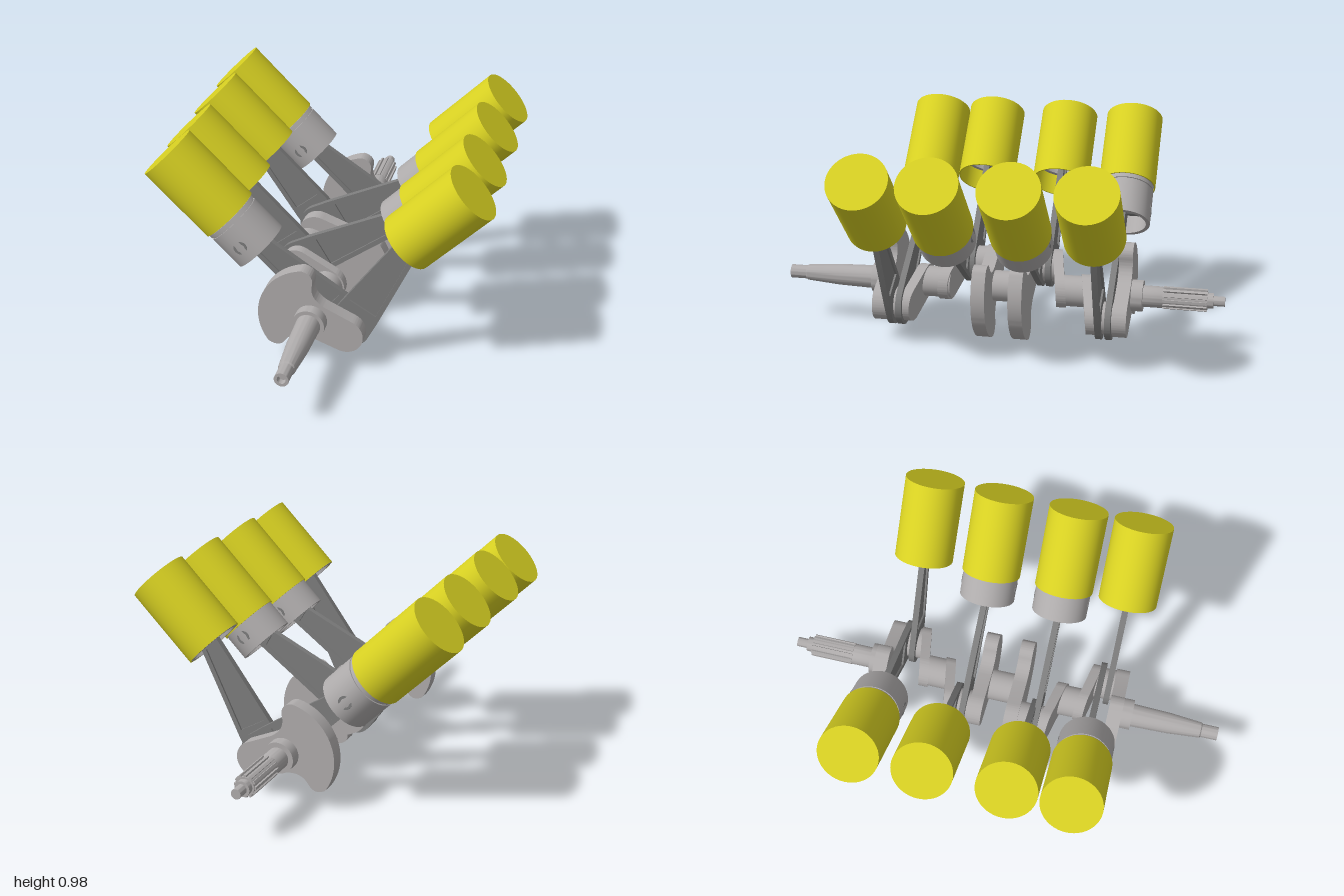
import * as THREE from 'three';
import { toCreasedNormals } from 'three/addons/utils/BufferGeometryUtils.js';

const AXIS = 0.205;                 // height of the crank axis
const THROW = 0.157;                // crank pin offset
const ROD = 0.578;                  // rod length between centres
const PHASE = -Math.PI / 8;         // angle of the outer crank pins

const material = (name, color) => {
  const m = new THREE.MeshStandardMaterial({ color });
  m.name = name;
  return m;
};

export function createModel() {
  const yellow = material('yellowSleeve', 0xd8d122);
  const steel = material('lightSteel', 0xafacac);
  const dark = material('darkSteel', 0x7d7d7d);
  const model = new THREE.Group();
  model.name = 'vEngineCrankTrain';

  const add = (parent, name, geometry, mat) => {
    const mesh = new THREE.Mesh(geometry, mat);
    mesh.name = name;
    parent.add(mesh);
    return mesh;
  };
  const lathe = (pts) => toCreasedNormals(
    new THREE.LatheGeometry(pts.map(([r, y]) => new THREE.Vector2(r, y)), 48), 0.5);
  const extrude = (shape, depth) => toCreasedNormals(
    new THREE.ExtrudeGeometry(shape, { depth, bevelEnabled: false, curveSegments: 24 })
      .translate(0, 0, -depth / 2), 0.5);
  const rodZ = (r, z0, z1) =>
    new THREE.CylinderGeometry(r, r, z1 - z0, 40).rotateX(Math.PI / 2).translate(0, 0, (z0 + z1) / 2);

  // ---- Crankshaft ----
  const crank = new THREE.Group();
  crank.name = 'crankshaft';
  crank.position.y = AXIS;
  model.add(crank);

  // Main journals
  for (const [z0, z1] of [[0.23, 0.375], [-0.09, 0.05], [-0.39, -0.26]])
    add(crank, 'mainJournal', rodZ(0.07, z0, z1), steel);

  // Tapered front nose with a small centre recess
  add(crank, 'frontNose', lathe([
    [0, 0.54], [0.07, 0.54], [0.07, 0.6], [0.053, 0.6], [0.048, 0.77], [0.036, 0.92],
    [0.031, 0.925], [0.031, 1], [0.018, 1], [0.016, 0.975], [0, 0.975],
  ].map(([r, z]) => [r, z])).rotateX(Math.PI / 2), steel);

  // Rear stub and its splines
  add(crank, 'rearStub', lathe([
    [0, -1], [0.022, -1], [0.022, -0.95], [0.034, -0.95], [0.034, -0.925], [0.042, -0.925],
    [0.042, -0.74], [0.048, -0.72], [0.048, -0.64], [0.07, -0.64], [0.07, -0.58], [0, -0.58],
  ]).rotateX(Math.PI / 2), steel);
  for (let i = 0; i < 12; i++)
    add(crank, 'spline', new THREE.BoxGeometry(0.012, 0.012, 0.195)
      .translate(0.044, 0, -0.825).rotateZ(i * Math.PI / 6), steel);

  // Counterweighted web, pin towards local +x
  const heavy = new THREE.Shape();
  heavy.absarc(THROW, 0, 0.08, -Math.PI / 2, Math.PI / 2, false);
  heavy.lineTo(0.03, 0.085);
  heavy.quadraticCurveTo(-0.05, 0.095, -0.06, 0.16);
  heavy.quadraticCurveTo(-0.07, 0.207, -0.125, 0.199);
  const end = Math.atan2(0.199, -0.125);
  heavy.absarc(0, 0, 0.235, end, 2 * Math.PI - end, false);
  heavy.quadraticCurveTo(-0.07, -0.207, -0.06, -0.16);
  heavy.quadraticCurveTo(-0.05, -0.095, 0.03, -0.085);
  heavy.closePath();

  // Plain web, a pill around journal and pin
  const plain = new THREE.Shape();
  plain.absarc(THROW, 0, 0.078, -Math.PI / 2, Math.PI / 2, false);
  plain.absarc(0, 0, 0.078, Math.PI / 2, Math.PI * 1.5, false);
  plain.closePath();

  // Each throw: pin span, heavy web centre, plain web centres at pin and at journal
  const throws = [
    { angle: PHASE, pin: [0.39, 0.5], heavy: 0.52, atPin: 0.393, atMain: 0.368 },
    { angle: PHASE + Math.PI, pin: [0.09, 0.225], heavy: 0.066, atPin: 0.222, atMain: 0.25 },
    { angle: PHASE + Math.PI, pin: [-0.235, -0.12], heavy: -0.1, atPin: -0.235, atMain: -0.265 },
    { angle: PHASE, pin: [-0.54, -0.42], heavy: -0.558, atPin: -0.42, atMain: -0.39 },
  ];
  for (const t of throws) {
    const g = new THREE.Group();
    g.name = 'crankThrow';
    g.rotation.z = t.angle;
    crank.add(g);
    add(g, 'crankPin', rodZ(0.072, ...t.pin).translate(THROW, 0, 0), steel);
    add(g, 'counterweightWeb', extrude(heavy, 0.062), steel).position.z = t.heavy;
    // Lean the plain web between journal and pin
    const web = extrude(plain, 0.045);
    const p = web.attributes.position;
    for (let i = 0; i < p.count; i++)
      p.setZ(i, p.getZ(i) + t.atMain + (t.atPin - t.atMain) * p.getX(i) / THROW);
    add(g, 'plainWeb', web, steel);
  }

  // ---- Shared cylinder, piston and rod geometry ----
  const sleeveGeo = lathe([
    [0, 0.905], [0.126, 0.905], [0.126, 0.55], [0.131, 0.55], [0.131, 0.922], [0, 0.922],
  ]);

  const piston = [[0, 0.09], [0.106, 0.09], [0.106, -0.07], [0.124, -0.07]];
  for (const y of [0.095, 0.118, 0.141])     // ring grooves
    piston.push([0.124, y], [0.118, y], [0.118, y + 0.007], [0.124, y + 0.007]);
  piston.push([0.124, 0.17], [0, 0.17]);
  const pistonGeo = lathe(piston);

  // Wrist pin: tube with an inset bore at each end
  const wristGeo = lathe([
    [0, -0.1], [0.017, -0.1], [0.019, -0.123], [0.03, -0.123],
    [0.03, 0.123], [0.019, 0.123], [0.017, 0.1], [0, 0.1],
  ]).rotateX(Math.PI / 2);

  // Tapered rod outline with a recessed centre panel
  const outline = new THREE.Shape();
  outline.absarc(0, 0, 0.095, Math.PI - 0.1, 2 * Math.PI + 0.1, false);
  outline.lineTo(0.09, 0.09);
  outline.absarc(0, ROD, 0.042, 0.1, Math.PI - 0.1, false);
  outline.lineTo(-0.09, 0.09);
  outline.closePath();
  const panel = [[-0.066, 0.12], [0.066, 0.12], [0.028, 0.5], [-0.028, 0.5]]
    .map(([x, y]) => new THREE.Vector2(x, y));
  outline.holes.push(new THREE.Path(panel.slice().reverse()));
  const rodGeo = extrude(outline, 0.027);
  const panelGeo = extrude(new THREE.Shape(panel), 0.01);

  // ---- Two banks of four ----
  const banks = [
    { side: 1, zs: [0.468, 0.178, -0.156, -0.468] },
    { side: -1, zs: [0.426, 0.156, -0.198, -0.51] },
  ];
  for (const { side, zs } of banks) {
    zs.forEach((z, i) => {
      const { angle } = throws[i];
      const px = THROW * Math.cos(angle), py = THROW * Math.sin(angle);
      const d = Math.SQRT1_2;
      const along = (side * px + py) * d;
      const across = (px - side * py) * d;
      const s = along + Math.sqrt(ROD * ROD - across * across);

      const unit = new THREE.Group();
      unit.name = 'cylinderUnit';
      unit.position.set(0, AXIS, z);
      unit.rotation.z = -side * Math.PI / 4;
      model.add(unit);
      add(unit, 'cylinderSleeve', sleeveGeo, yellow);
      add(unit, 'piston', pistonGeo, steel).position.y = s;
      add(unit, 'wristPin', wristGeo, dark).position.y = s;

      const rod = new THREE.Group();
      rod.name = 'connectingRod';
      rod.position.set(px, AXIS + py, z);
      rod.rotation.z = Math.atan2(-(side * s * d - px), s * d - py);
      model.add(rod);
      add(rod, 'rodBeam', rodGeo, dark);
      add(rod, 'rodPanel', panelGeo, dark);
    });
  }
  return model;
}
